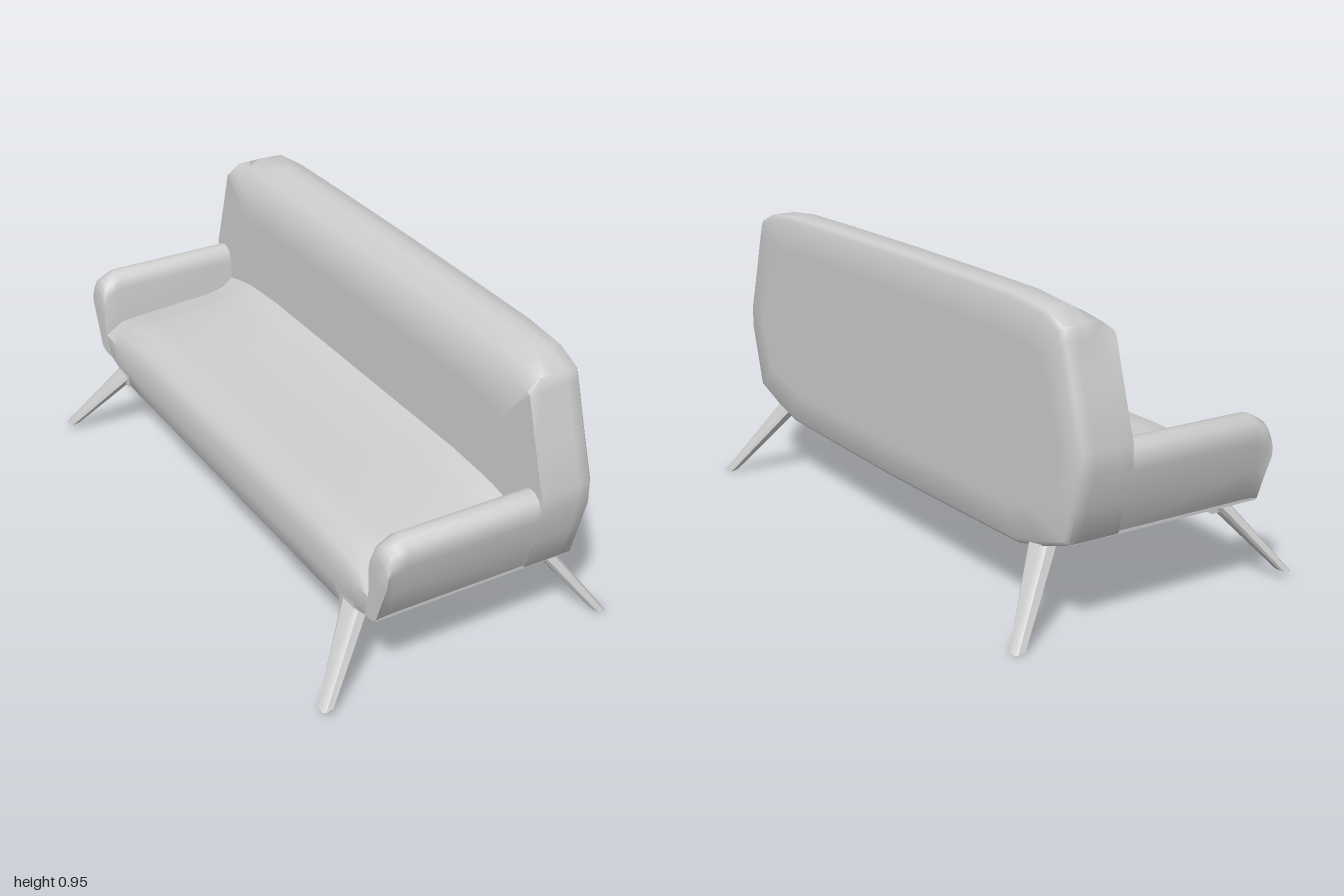
import * as THREE from 'three';
import { toCreasedNormals } from 'three/addons/utils/BufferGeometryUtils.js';

// Closed solid through rings of points, turned outward by its signed volume
function loft(rings, crease = 0.8) {
  const n = rings[0].length, pts = rings.flat(), idx = [];
  const centre = (r) => [0, 1, 2].map((k) => r.reduce((s, p) => s + p[k], 0) / n);
  for (let i = 0; i < rings.length - 1; i++) {
    for (let j = 0; j < n; j++) {
      const a = i * n + j, b = i * n + (j + 1) % n;
      idx.push(a, b, a + n, b, b + n, a + n);
    }
  }
  const last = (rings.length - 1) * n, c0 = pts.length;
  pts.push(centre(rings[0]), centre(rings[rings.length - 1]));
  for (let j = 0; j < n; j++) {
    const k = (j + 1) % n;
    idx.push(c0, k, j, c0 + 1, last + j, last + k);
  }
  let volume = 0;
  const v = (i) => new THREE.Vector3(...pts[i]);
  for (let i = 0; i < idx.length; i += 3) volume += v(idx[i]).dot(v(idx[i + 1]).cross(v(idx[i + 2])));
  if (volume < 0) idx.reverse();
  const geo = new THREE.BufferGeometry();
  geo.setAttribute('position', new THREE.Float32BufferAttribute(pts.flat(), 3));
  geo.setIndex(idx);
  return toCreasedNormals(geo, crease);
}

export function createModel() {
  const group = new THREE.Group();
  const grey = new THREE.MeshStandardMaterial({ color: 0xcccccc });
  grey.name = 'light grey';
  const add = (name, geo) => {
    const mesh = new THREE.Mesh(geo, grey);
    mesh.name = name;
    group.add(mesh);
  };

  // Backrest: faceted oval outline (z, y); the top slopes down to a lower front rim
  const half = [[0.4, 0.953], [0.67, 0.95], [0.82, 0.935], [0.9, 0.9], [0.912, 0.86], [0.955, 0.715], [1, 0.57],
    [1, 0.5], [0.97, 0.395], [0.94, 0.29], [0.82, 0.25], [0.7, 0.22], [0.4, 0.215]];
  const outline = [[0, 0.955], ...half, [0, 0.21], ...half.map(([z, y]) => [-z, y]).reverse()];
  const backRing = ([x, inset, top]) => outline.map(([z, y]) => [
    x, Math.min(top, 0.57 + (y - 0.57) * (1 - inset / 0.385)), z * (1 - inset * 0.8)]);
  add('backrest', loft([[0.168, 0.2, 1], [0.168, 0, 0.87], [0.21, 0, 0.912], [0.255, 0, 1], [0.3, 0, 1],
    [0.338, 0, 1], [0.349, 0.015, 1], [0.35, 0.12, 1]].map(backRing), 1));

  // Seat and base: side profile (x, y); the ends drop on top and lift below, and the underside is hollow
  const profile = [[0.3, 0.51], [0.168, 0.5], [0.13, 0.47], [0.07, 0.455], [-0.2, 0.44], [-0.28, 0.432], [-0.325, 0.405],
    [-0.344, 0.35], [-0.342, 0.28], [-0.335, 0.22], [-0.32, 0.2], [-0.28, 0.2], [-0.275, 0.2],
    [-0.01, 0.2], [0, 0.2], [0.2, 0.22], [0.33, 0.226]];
  const seatRing = ([z, lift, hollow, drop]) => profile.map(([x, y], i) => [
    x, i === 12 || i === 13 ? Math.max(hollow, lift) : y > 0.35 ? y - drop : Math.max(y, lift), z]);
  const ends = [[0.94, 0.288, 0, 0.05], [0.88, 0.268, 0, 0.04], [0.82, 0.25, 0, 0.025], [0.77, 0.225, 0, 0.015],
    [0.7, 0.21, 0.25, 0.008], [0.55, 0.203, 0.29, 0], [0.4, 0.2, 0.3, 0]];
  add('seat', loft([...ends, ...ends.map(([z, ...rest]) => [-z, ...rest]).reverse()].map(seatRing), 0.9));

  // Armrest section (z, y); each ring along x drops its top by an amount
  const section = [[0.88, 0.275], [0.9, 0.38], [0.9, 0.52], [0.912, 0.552], [0.93, 0.567], [0.95, 0.572],
    [0.97, 0.567], [0.99, 0.553], [1, 0.525], [0.998, 0.49], [0.969, 0.395], [0.942, 0.3], [0.925, 0.284]];
  const armRings = [[0.25, 0], [-0.28, 0], [-0.305, 0.013], [-0.33, 0.027], [-0.342, 0.055], [-0.345, 0.07]];

  for (const side of [1, -1]) {
    const where = side > 0 ? 'Left' : 'Right';
    add('armrest' + where, loft(armRings.map(([x, drop]) => section.map(([z, y]) => [
      x, y - drop * (y - 0.275) / 0.297, side * z])), 0.9));

    // Splayed, tapering legs
    for (const end of [1, -1]) {
      const foot = end < 0 ? 0.024 : 0.004;
      const legRing = ([x, y, z, w, d]) => [[-1, -0.6], [-0.6, -1], [0.6, -1], [1, -0.6], [1, 0.6], [0.6, 1], [-0.6, 1], [-1, 0.6]]
        .map(([u, v]) => [end * (x + u * w), y - (y < 0.1 ? u * 0.004 : 0), side * (z + v * d)]);
      add((end < 0 ? 'frontLeg' : 'backLeg') + where, loft([
        [0.303, 0.265, 0.775, 0.028, 0.045], [0.49, foot, 0.915, 0.02, 0.022],
      ].map(legRing), 0.6));
    }

    // Mounting block above each front leg
    const block = new THREE.BoxGeometry(0.055, 0.055, 0.08);
    block.translate(-0.312, 0.242, side * 0.775);
    add('legBlock' + where, block);
  }
  return group;
}
